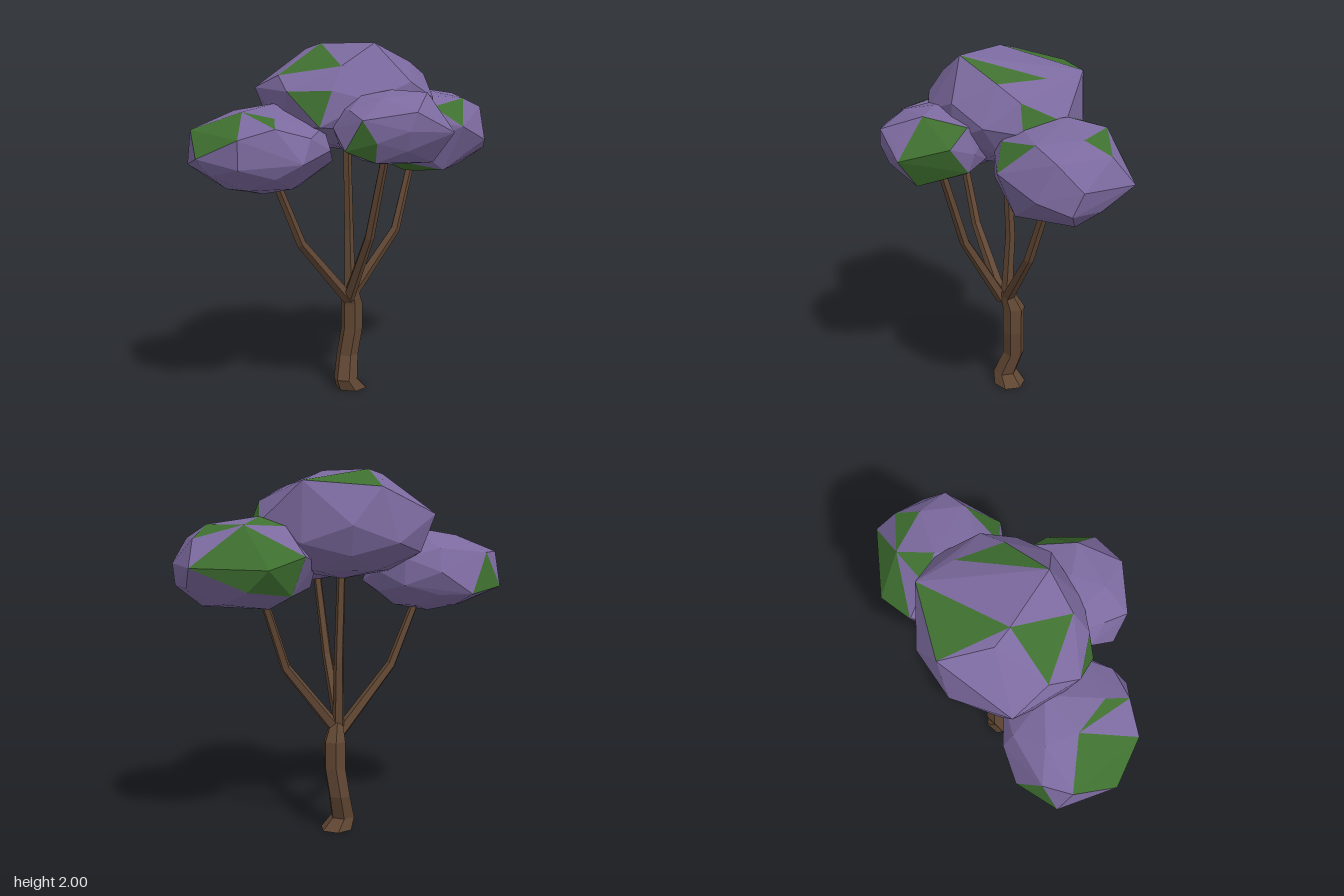
import * as THREE from 'three';
import { ConvexGeometry } from 'three/addons/geometries/ConvexGeometry.js';

const flat = (name, color) => Object.assign(new THREE.MeshStandardMaterial({ color, flatShading: true }), { name });

// Tapered, bent limb: stations are [x, y, z, radius]
function limb(name, stations, sides, material, level = false) {
  const up = new THREE.Vector3(0, 1, 0);
  const pts = stations.map(([x, y, z]) => new THREE.Vector3(x, y, z));
  const pos = [], index = [];
  stations.forEach(([, , , r], i) => {
    const dir = pts[Math.min(i + 1, pts.length - 1)].clone().sub(pts[Math.max(i - 1, 0)]).normalize();
    const q = new THREE.Quaternion().setFromUnitVectors(up, level ? up : dir);
    for (let k = 0; k < sides; k++) {
      const a = (k / sides) * Math.PI * 2;
      const v = new THREE.Vector3(Math.sin(a) * r, 0, Math.cos(a) * r).applyQuaternion(q).add(pts[i]);
      pos.push(v.x, v.y, v.z);
    }
  });
  const last = (stations.length - 1) * sides;
  for (let k = 0; k < sides; k++) {
    const n = (k + 1) % sides;
    for (let o = 0; o < last; o += sides) {
      index.push(o + k, o + n, o + sides + n, o + k, o + sides + n, o + sides + k);
    }
    // End caps
    if (k > 0 && k < sides - 1) index.push(0, k + 1, k, last, last + k, last + k + 1);
  }
  const g = new THREE.BufferGeometry();
  g.setAttribute('position', new THREE.Float32BufferAttribute(pos, 3));
  g.setIndex(index);
  g.computeVertexNormals();
  const mesh = new THREE.Mesh(g, material);
  mesh.name = name;
  return mesh;
}

const facePoints = (g) => Array.from({ length: g.attributes.position.count },
  (_, i) => new THREE.Vector3().fromBufferAttribute(g.attributes.position, i));

// True when p lies in the cone spanned by a, b and c
function inCone(p, [a, b, c]) {
  const side = (u, v) => Math.sign(u.clone().cross(v).dot(p));
  const s = side(a, b);
  return s === side(b, c) && s === side(c, a) && p.dot(a.clone().add(b).add(c)) > 0;
}

// Faceted leaf clump: hull of a squashed icosphere filling min..max, whose points give way
// to a few chosen corners; patches are corner triples that turn green
function clump(name, min, max, corners, patches, materials) {
  const lo = new THREE.Vector3(...min), hi = new THREE.Vector3(...max);
  const centre = lo.clone().add(hi).multiplyScalar(0.5);
  const radius = hi.clone().sub(lo).multiplyScalar(0.5);
  const keys = corners.map((c) => new THREE.Vector3(...c).sub(centre).divide(radius));
  const cones = patches.map((t) => t.map((i) => keys[i]));
  const fill = facePoints(new THREE.IcosahedronGeometry(1, 1))
    .filter((v) => keys.every((k) => v.angleTo(k) > 0.4) && !cones.some((c) => inCone(v, c)));
  const hull = facePoints(new ConvexGeometry([...keys, ...fill]));
  const purple = [], green = [];
  for (let f = 0; f < hull.length; f += 3) {
    const face = hull.slice(f, f + 3);
    const mid = face[0].clone().add(face[1]).add(face[2]);
    (cones.some((c) => inCone(mid, c)) ? green : purple).push(...face);
  }
  const g = new THREE.BufferGeometry().setFromPoints([...purple, ...green]);
  g.scale(...radius.toArray()).translate(...centre.toArray());
  g.addGroup(0, purple.length, 0);
  g.addGroup(purple.length, green.length, 1);
  g.computeVertexNormals();
  const mesh = new THREE.Mesh(g, materials);
  mesh.name = name;
  return mesh;
}

export function createModel() {
  const tree = new THREE.Group();
  tree.name = 'tree';
  const bark = flat('bark brown', 0x604633);
  const leaves = [flat('leaf purple', 0x7c6a9f), flat('leaf green', 0x3f7030)];

  // Crooked trunk with a splayed foot
  tree.add(limb('trunk', [
    [0.03, 0, -0.11, 0.092], [-0.01, 0.065, -0.09, 0.07], [0.015, 0.2, -0.135, 0.064],
    [0.04, 0.36, -0.127, 0.064], [0.04, 0.51, -0.127, 0.064], [0.025, 0.61, -0.09, 0.038],
  ], 6, bark, true));

  // Four bent branches, one for each clump
  const branches = {
    rightBranch: [[0, 0.55, -0.07, 0.036], [-0.3, 0.91, 0.02, 0.028], [-0.47, 1.32, 0.07, 0.022]],
    leftBranch: [[0.02, 0.56, -0.09, 0.036], [0.31, 0.93, -0.14, 0.028], [0.45, 1.38, -0.22, 0.022]],
    frontBranch: [[0, 0.55, -0.07, 0.036], [0.05, 0.95, 0.16, 0.028], [0.1, 1.5, 0.32, 0.022]],
    middleBranch: [[0.015, 0.55, -0.09, 0.036], [0.015, 0.95, -0.11, 0.028], [-0.005, 1.55, -0.085, 0.024]],
  };
  for (const [name, path] of Object.entries(branches)) tree.add(limb(name, path, 5, bark));

  // Large clump on top
  tree.add(clump('topClump', [-0.51, 1.41, -0.52], [0.5, 2, 0.34], [
    [-0.15, 2, -0.085], [0.07, 2, 0.18], [0.3, 1.91, -0.22], [0.32, 1.9, 0.04], [0.24, 1.93, -0.43],
    [-0.165, 1.9, -0.45], [-0.415, 1.83, 0.015], [-0.13, 1.88, 0.235], [-0.5, 1.76, -0.19], [-0.21, 1.97, -0.18],
    [0.44, 1.83, -0.05], [0.45, 1.72, -0.28], [0.5, 1.68, -0.05], [-0.41, 1.75, 0.18], [-0.2, 1.757, 0.3],
    [-0.27, 1.57, 0.31],
  ], [[1, 2, 3], [0, 4, 5], [0, 6, 7], [0, 8, 9], [10, 11, 12], [13, 14, 15]], leaves));

  // Clump on the left branch
  tree.add(clump('leftClump', [0.15, 1.26, -0.61], [0.9, 1.76, 0.13], [
    [0.45, 1.75, -0.29], [0.535, 1.71, -0.467], [0.42, 1.49, -0.61], [0.81, 1.5, -0.525], [0.79, 1.64, -0.41],
    [0.72, 1.71, -0.29], [0.23, 1.55, -0.5], [0.69, 1.69, -0.06], [0.46, 1.65, 0.05], [0.62, 1.54, 0.11],
    [0.89, 1.39, -0.19], [0.82, 1.45, -0.03], [0.75, 1.285, -0.25], [0.4, 1.26, -0.22], [0.55, 1.285, 0],
    [0.17, 1.365, -0.1], [0.3, 1.35, -0.48], [0.32, 1.7, -0.38],
  ], [[1, 2, 6], [1, 2, 3], [1, 4, 5], [0, 1, 17], [7, 8, 9], [10, 11, 12], [12, 13, 14], [13, 14, 15],
    [2, 6, 16], [2, 3, 16]], leaves));

  // Clump on the right branch
  tree.add(clump('rightClump', [-0.9, 1.21, -0.25], [-0.15, 1.69, 0.46], [
    [-0.885, 1.55, -0.015], [-0.63, 1.645, 0.1], [-0.5, 1.62, 0.285], [-0.895, 1.42, 0.22], [-0.8, 1.55, -0.14],
    [-0.7, 1.33, -0.24], [-0.895, 1.36, -0.09], [-0.415, 1.685, 0], [-0.155, 1.38, 0.15], [-0.395, 1.4, 0.46],
  ], [[0, 1, 3], [1, 2, 3], [4, 5, 6]], leaves));

  // Small clump at the front
  tree.add(clump('frontClump', [-0.2, 1.37, 0.03], [0.43, 1.76, 0.61], [
    [0.28, 1.748, 0.41], [0.425, 1.61, 0.3], [0.375, 1.55, 0.555], [0.15, 1.66, 0.61], [-0.115, 1.62, 0.545],
    [-0.18, 1.46, 0.46], [-0.03, 1.4, 0.5], [0.3, 1.39, 0.45], [0.36, 1.7, 0.2], [0.38, 1.47, 0.2],
  ], [[0, 1, 2], [0, 1, 8], [1, 2, 7], [1, 7, 9], [4, 5, 6]], leaves));
  return tree;
}
